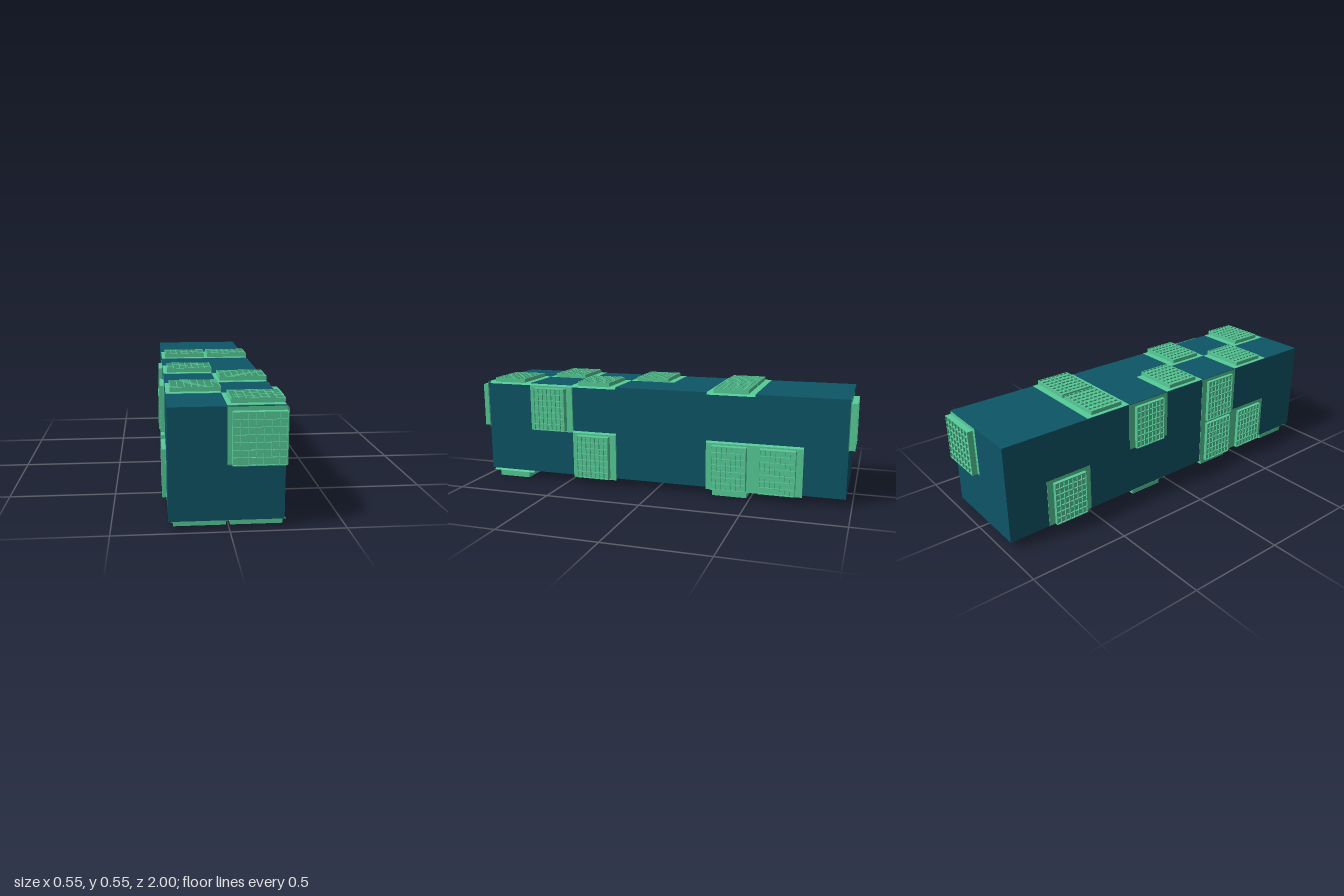
import * as THREE from 'three';
import { ConvexGeometry } from 'three/addons/geometries/ConvexGeometry.js';

const CELL = 0.245;            // pitch of the panel lattice
const MID_Y = 0.277;           // lattice centre height
const HALF = CELL + 0.0002;    // lattice half width in x and y
const RISE = 0.032;            // panel height above its base
const POCKET = 0.008;          // depth of the waffle pockets
const BODY = { x: -0.011, y: 0.286, half: 0.246, z: 0.97 };

// Plate with a 7 x 7 grid of square pockets, facing +z, starting at z = 0
function waffleGeometry(w, h) {
  const n = 7, rib = 0.0035;
  const shape = new THREE.Shape([
    new THREE.Vector2(-w / 2, -h / 2), new THREE.Vector2(w / 2, -h / 2),
    new THREE.Vector2(w / 2, h / 2), new THREE.Vector2(-w / 2, h / 2)]);
  const cw = (w - rib) / n, ch = (h - rib) / n;
  for (let i = 0; i < n; i++) for (let j = 0; j < n; j++) {
    const x0 = -w / 2 + rib + i * cw, x1 = x0 + cw - rib;
    const y0 = -h / 2 + rib + j * ch, y1 = y0 + ch - rib;
    shape.holes.push(new THREE.Path([
      new THREE.Vector2(x0, y0), new THREE.Vector2(x0, y1),
      new THREE.Vector2(x1, y1), new THREE.Vector2(x1, y0)]));
  }
  return new THREE.ExtrudeGeometry(shape, { depth: POCKET, bevelEnabled: false });
}

// For each side: outward axis, sign, rotation and raised panel size
const SIDES = {
  left: { axis: 'x', s: 1, rot: [0, Math.PI / 2, 0], w: 0.178, h: 0.228 },
  right: { axis: 'x', s: -1, rot: [0, -Math.PI / 2, 0], w: 0.178, h: 0.228 },
  top: { axis: 'y', s: 1, rot: [-Math.PI / 2, 0, 0], w: 0.228, h: 0.178 },
  bottom: { axis: 'y', s: -1, rot: [Math.PI / 2, 0, 0], w: 0.228, h: 0.178 },
  front: { axis: 'z', s: 1, rot: [0, 0, 0], w: 0.228, h: 0.228 },
  back: { axis: 'z', s: -1, rot: [0, Math.PI, 0], w: 0.228, h: 0.228 },
};

// [side, half of the body (+1 or -1: x for top/bottom, y otherwise), row along z]
const PANELS = [
  ['left', 1, 1], ['left', -1, 2], ['left', -1, 5], ['left', -1, 6],
  ['right', -1, 1], ['right', 1, 2], ['right', -1, 2], ['right', 1, 4], ['right', -1, 6],
  ['top', 1, 0], ['top', -1, 1], ['top', 1, 2], ['top', -1, 3], ['top', 1, 5], ['top', -1, 5],
  ['bottom', 1, 0], ['bottom', -1, 0], ['bottom', -1, 2], ['bottom', -1, 4], ['bottom', 1, 5],
  ['front', 1, 0], ['back', 1, 0],
];

// Four corners of a square lying across the given axis
function square(center, axis, half) {
  const [a, b] = ['x', 'y', 'z'].filter((k) => k !== axis);
  const pts = [];
  for (const i of [-1, 1]) for (const j of [-1, 1]) {
    const p = center.clone();
    p[a] += i * half;
    p[b] += j * half;
    pts.push(p);
  }
  return pts;
}

export function createModel() {
  const model = new THREE.Group();
  const bodyMat = new THREE.MeshStandardMaterial({ color: 0x0d5567 });
  bodyMat.name = 'deep teal';
  const panelMat = new THREE.MeshStandardMaterial({ color: 0x57cc99 });
  panelMat.name = 'mint green';

  // Long body
  const body = new THREE.Mesh(
    new THREE.BoxGeometry(BODY.half * 2, BODY.half * 2, BODY.z * 2), bodyMat);
  body.name = 'body';
  body.position.set(BODY.x, BODY.y, 0);
  model.add(body);

  for (const [side, sign, row] of PANELS) {
    const { axis, s, rot, w, h } = SIDES[side];
    const panel = new THREE.Group();
    panel.name = side + 'Panel';

    // Lattice point on the panel's base plane
    const base = new THREE.Vector3(CELL / 2, MID_Y + sign * CELL / 2, 0.832 - row * CELL);
    if (axis === 'y') base.x = sign * CELL / 2;
    if (axis === 'x') base.x = s * HALF;
    if (axis === 'y') base.y = MID_Y + s * HALF;
    if (axis === 'z') base.z = s * (1 - RISE);

    // Matching square on the body's face
    const face = base.clone();
    face.x += BODY.x;
    face.y += BODY.y - MID_Y;
    if (axis === 'z') face.z = s * (BODY.z + 0.002);
    else face[axis] = BODY[axis] + s * (BODY.half + 0.002);

    // Base skewed between the body face and the lattice
    const seat = new THREE.Mesh(new ConvexGeometry([
      ...square(face, axis, CELL / 2), ...square(base, axis, CELL / 2)]), panelMat);
    seat.name = 'panelBase';
    panel.add(seat);

    // Raised block with the waffle grid on top
    const raised = new THREE.Group();
    raised.name = 'raisedPanel';
    raised.position.copy(base);
    raised.rotation.set(...rot);
    const block = new THREE.Mesh(new THREE.BoxGeometry(w, h, RISE - POCKET), panelMat);
    block.name = 'panelBlock';
    block.position.z = (RISE - POCKET) / 2;
    const grid = new THREE.Mesh(waffleGeometry(w, h), panelMat);
    grid.name = 'panelGrid';
    grid.position.z = RISE - POCKET;
    raised.add(block, grid);
    panel.add(raised);
    model.add(panel);
  }
  return model;
}
